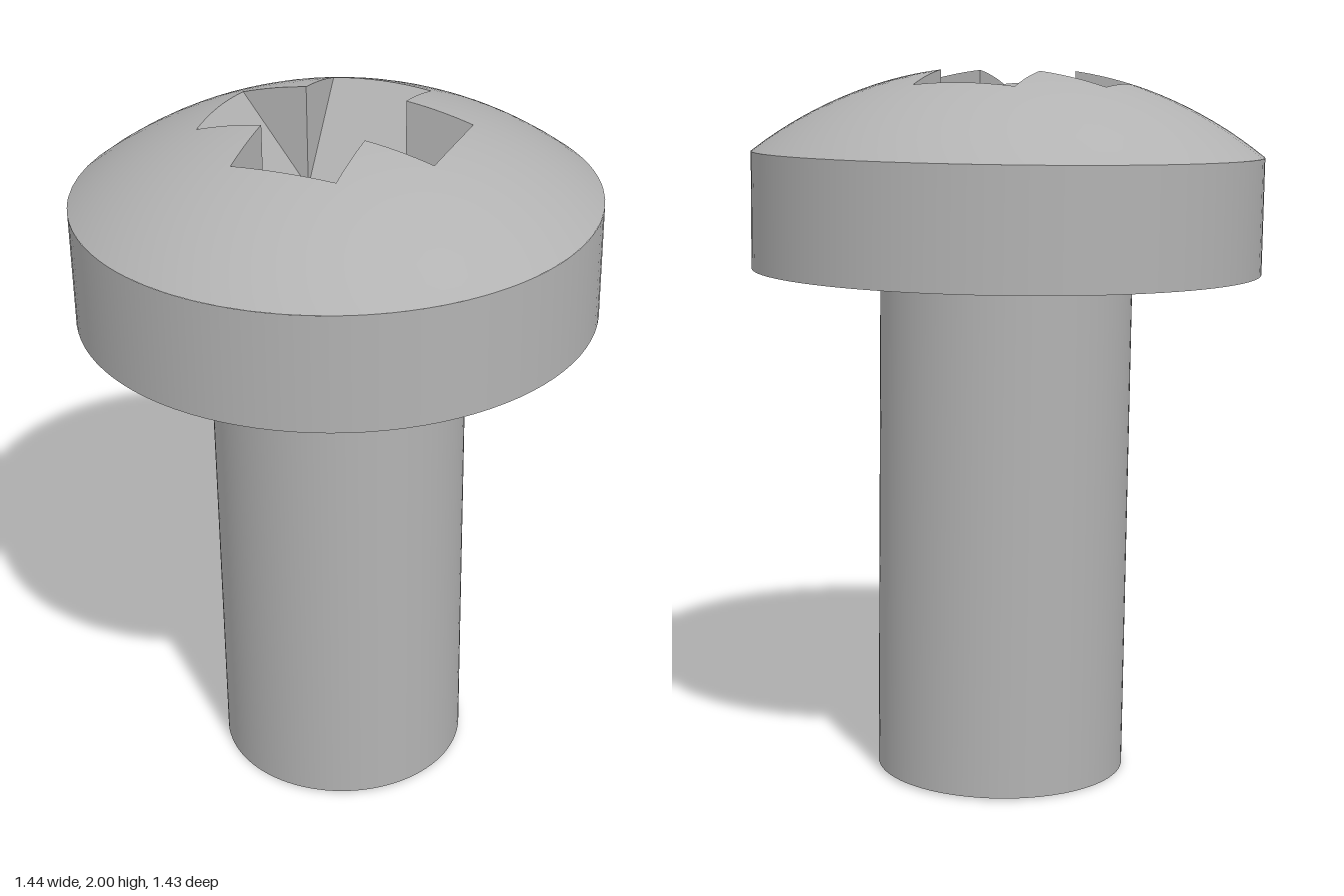
import * as THREE from 'three';

const HEAD_R = 0.716, SHAFT_R = 0.356, HEAD_Y = 1.44, RIM_Y = 1.764, APEX_Y = 2.011;
const RISE = APEX_Y - RIM_Y;
const SPHERE_R = (HEAD_R * HEAD_R + RISE * RISE) / (2 * RISE);
const HALF_SLOT = 0.145, SLOT_SLOPE = 1.34, SLOT_BOTTOM = 1.505;

const domeY = (x, z) => APEX_Y - SPHERE_R + Math.sqrt(SPHERE_R * SPHERE_R - x * x - z * z);
const floorY = (x) => SLOT_BOTTOM + SLOT_SLOPE * x;

// Where the sloping slot floor breaks through the dome
function tipX(z) {
  let x = 0.33;
  for (let i = 0; i < 30; i++) x = (domeY(x, z) - SLOT_BOTTOM) / SLOT_SLOPE;
  return x;
}

// Triangles between two matching rows of points
function strip(out, a, b) {
  for (let i = 0; i < a.length - 1; i++) {
    out.push(...a[i], ...b[i + 1], ...b[i], ...a[i], ...a[i + 1], ...b[i + 1]);
  }
}

function toGeometry(positions) {
  const g = new THREE.BufferGeometry();
  g.setAttribute('position', new THREE.Float32BufferAttribute(positions, 3));
  g.computeVertexNormals();
  return g;
}

const steps = (n, f) => Array.from({ length: n + 1 }, (_, i) => f(i / n));

// Edges of one arm of the cross, as [x, z]
function armEdges() {
  const w = HALF_SLOT, t = tipX(w);
  const wallOut = steps(8, (k) => [w + (t - w) * k, -w]);
  const tip = steps(8, (k) => { const z = -w + 2 * w * k; return [tipX(z), z]; });
  const wallIn = steps(8, (k) => [t + (w - t) * k, w]);
  return { wallOut, tip, wallIn };
}

// One quarter of the dome, from the cross to the rim
function domeQuarter() {
  const { wallOut, tip, wallIn } = armEdges();
  const edge = [...wallOut, ...tip.slice(1), ...wallIn.slice(1)];
  const rings = steps(10, (k) => edge.map(([x, z]) => {
    const r = Math.hypot(x, z), s = (r + (HEAD_R - r) * k) / r;
    return [x * s, domeY(x * s, z * s), z * s];
  }));
  const pos = [];
  for (let i = 0; i < rings.length - 1; i++) strip(pos, rings[i], rings[i + 1]);
  const g = toGeometry(pos);
  // Exact sphere normals keep the quarters seamless
  const p = g.attributes.position, n = new THREE.Vector3();
  for (let i = 0; i < p.count; i++) {
    n.fromBufferAttribute(p, i);
    n.y -= APEX_Y - SPHERE_R;
    n.normalize();
    g.attributes.normal.setXYZ(i, n.x, n.y, n.z);
  }
  return g;
}

// One arm of the recess: floor, side walls and its share of the centre
function recessArm() {
  const { wallOut, tip, wallIn } = armEdges();
  const w = HALF_SLOT, pos = [];
  strip(pos, tip.map(([, z]) => [w, floorY(w), z]), tip.map(([x, z]) => [x, floorY(x), z]));
  for (const wall of [wallOut, wallIn]) {
    strip(pos, wall.map(([x, z]) => [x, floorY(x), z]), wall.map(([x, z]) => [x, domeY(x, z), z]));
  }
  const centre = [0, SLOT_BOTTOM, 0], mid = [w, SLOT_BOTTOM, 0];
  const c0 = [w, floorY(w), -w], c1 = [w, floorY(w), w];
  pos.push(...c0, ...mid, ...c1, ...centre, ...c1, ...mid, ...centre, ...mid, ...c0);
  return toGeometry(pos);
}

export function createModel() {
  const steel = new THREE.MeshStandardMaterial({ color: 0xb2b2b2 });
  steel.name = 'grey steel';
  const model = new THREE.Group();
  model.name = 'screw';
  const add = (name, geometry, parent = model) => {
    const mesh = new THREE.Mesh(geometry, steel);
    mesh.name = name;
    parent.add(mesh);
    return mesh;
  };

  // Plain shaft
  add('shaft', new THREE.CylinderGeometry(SHAFT_R, SHAFT_R, HEAD_Y, 96)).position.y = HEAD_Y / 2;

  // Head band and flat underside
  const band = new THREE.CylinderGeometry(HEAD_R, HEAD_R, RIM_Y - HEAD_Y, 96, 1, true);
  add('headBand', band).position.y = (RIM_Y + HEAD_Y) / 2;
  const under = add('headUnderside', new THREE.RingGeometry(SHAFT_R, HEAD_R, 96));
  under.rotation.x = Math.PI / 2;
  under.position.y = HEAD_Y;

  // Dome and cross recess, four turns of one quarter
  const top = new THREE.Group();
  top.name = 'headTop';
  top.rotation.y = -0.245;
  model.add(top);
  const dome = domeQuarter(), arm = recessArm();
  for (let i = 0; i < 4; i++) {
    add('dome', dome, top).rotation.y = i * Math.PI / 2;
    add('recessArm', arm, top).rotation.y = i * Math.PI / 2;
  }

  // The whole screw leans slightly
  model.rotation.z = 0.0135;
  model.position.set(0.02, 0.005, 0);
  const root = new THREE.Group();
  root.name = 'leaningScrew';
  root.add(model);
  return root;
}
